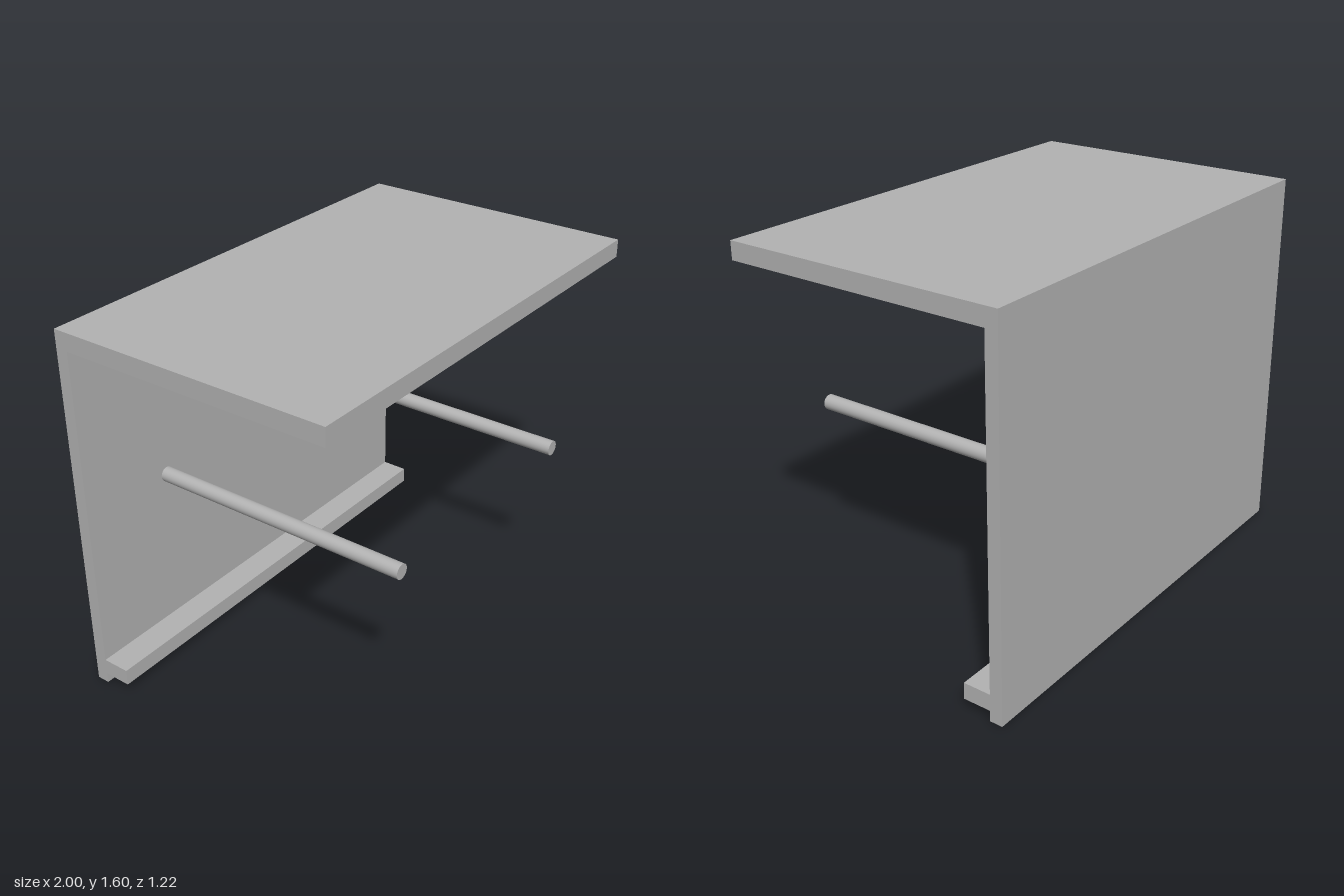
import * as THREE from 'three';

export function createModel() {
  const model = new THREE.Group();
  model.name = 'wallShelf';
  const grey = new THREE.MeshStandardMaterial({ color: 0xb2b2b2 });
  grey.name = 'grey';

  // Side profile (z, y): back panel, top shelf and lower ledge in one piece
  const profile = new THREE.Shape([
    [-0.612, 0], [-0.557, 0], [-0.557, 0.046], [-0.437, 0.046],
    [-0.437, 0.117], [-0.557, 0.117], [-0.557, 1.524], [0.612, 1.524],
    [0.612, 1.6], [-0.612, 1.6],
  ].map(([z, y]) => new THREE.Vector2(z, y)));
  const bodyGeometry = new THREE.ExtrudeGeometry(profile, { depth: 2, bevelEnabled: false });
  bodyGeometry.rotateY(-Math.PI / 2).translate(1, 0, 0);
  const body = new THREE.Mesh(bodyGeometry, grey);
  body.name = 'shelfBody';
  model.add(body);

  // Two round pegs reaching forward from the back panel
  const pegGeometry = new THREE.CylinderGeometry(0.032, 0.032, 1.179, 32);
  pegGeometry.rotateX(Math.PI / 2);
  for (const side of [-1, 1]) {
    const peg = new THREE.Mesh(pegGeometry, grey);
    peg.name = side > 0 ? 'leftPeg' : 'rightPeg';
    peg.position.set(side * 0.56, 0.802, 0.0225);
    model.add(peg);
  }
  return model;
}
